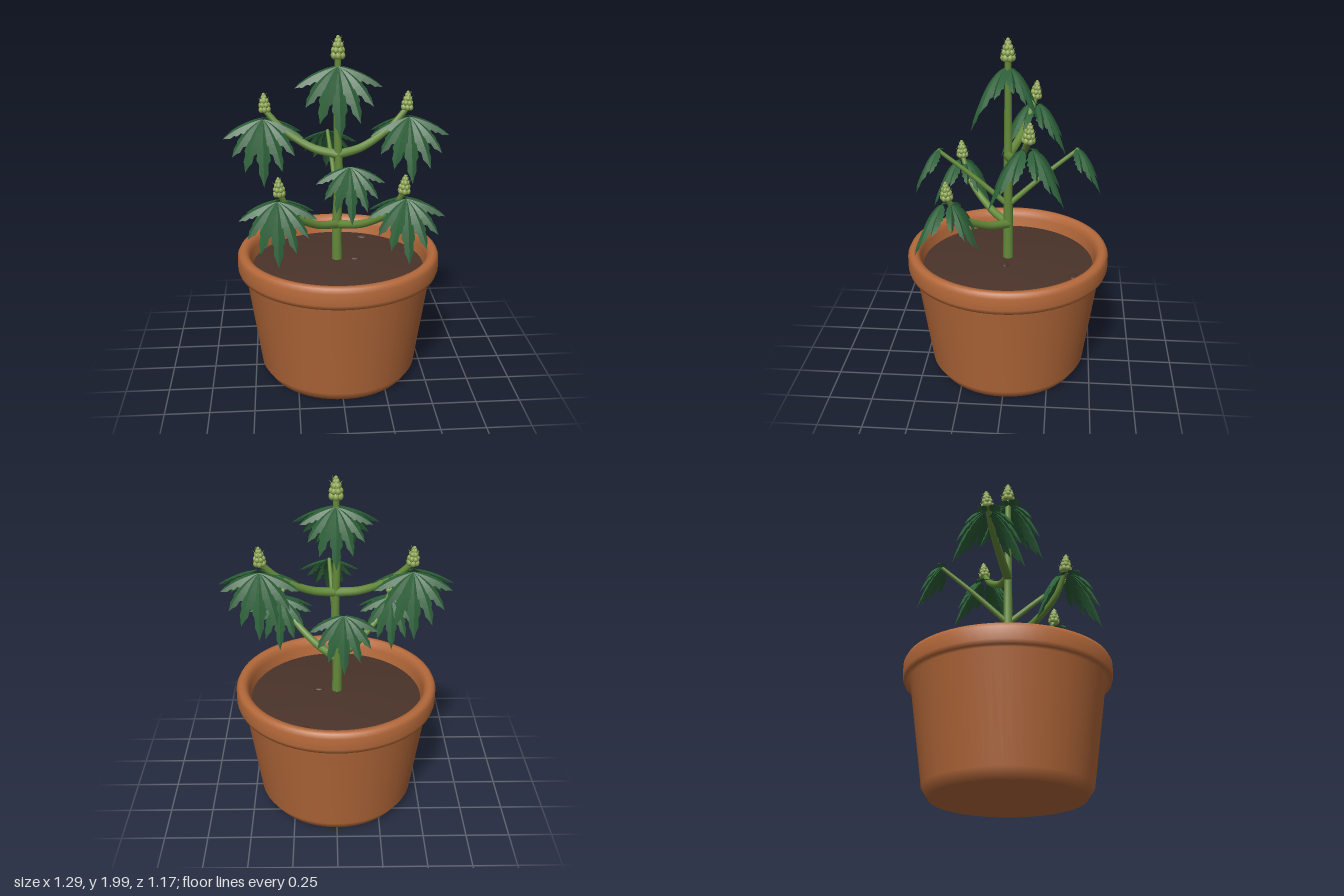
import * as THREE from 'three';
import { mergeGeometries } from 'three/addons/utils/BufferGeometryUtils.js';

const V = (x, y, z) => new THREE.Vector3(x, y, z);

function lathe(points) {
  return new THREE.LatheGeometry(points.map(p => new THREE.Vector2(p[0], p[1])), 64);
}

// Round stalk along a smooth path, thinning from r0 to r1
function stalk(points, r0, r1, segments = 20) {
  const path = new THREE.CatmullRomCurve3(points);
  const geo = new THREE.TubeGeometry(path, segments, 1, 10, false);
  const pos = geo.attributes.position, v = V(0, 0, 0);
  for (let i = 0; i < pos.count; i++) {
    const t = Math.floor(i / 11) / segments;
    const c = path.getPointAt(t);
    v.fromBufferAttribute(pos, i).sub(c).multiplyScalar(r0 + (r1 - r0) * t).add(c);
    pos.setXYZ(i, v.x, v.y, v.z);
  }
  return geo;
}

// One drooping, serrated leaflet, roof-folded along its midrib
function leaflet(tip, width) {
  const teeth = 6, rows = teeth * 2, fold = 0.6;
  const path = new THREE.QuadraticBezierCurve3(V(0, 0, 0), V(tip.x * 0.55, tip.y * 0.22, tip.z * 0.6), tip);
  const sheet = V(0, 0.88, 0.47);
  const verts = [], index = [];
  for (let i = 0; i <= rows; i++) {
    const t = i / rows;
    const c = path.getPoint(t), T = path.getTangent(t);
    const side = sheet.clone().cross(T).normalize();
    const up = T.clone().cross(side).normalize();
    // lance shape, with every second row pulled in to cut the teeth
    const w = i === rows ? 0 : width * (0.1 + 0.9 * Math.pow(Math.sin(Math.PI * Math.pow(t, 0.85)), 0.8)) * (i % 2 ? 0.78 : 1);
    for (const s of [-1, 0, 1]) {
      const p = c.clone().addScaledVector(side, s * w).addScaledVector(up, -Math.abs(s) * w * fold);
      // tooth points lean toward the tip
      if (s && i % 2 === 0 && i < rows) p.addScaledVector(T, tip.length() * 0.035);
      verts.push(p.x, p.y, p.z);
    }
    if (i < rows) for (const k of [0, 1]) {
      const a = i * 3 + k, b = a + 1, d = a + 3, e = a + 4;
      index.push(a, e, b, a, d, e);
    }
  }
  const geo = new THREE.BufferGeometry();
  geo.setAttribute('position', new THREE.Float32BufferAttribute(verts, 3));
  geo.setIndex(index);
  const flat = geo.toNonIndexed();
  flat.computeVertexNormals();
  return flat;
}

// Hand-shaped leaf of seven leaflets drooping toward +z
function leafGeometry() {
  const parts = [leaflet(V(0, -0.365, 0.19), 0.05)];
  for (const s of [-1, 1]) {
    parts.push(leaflet(V(s * 0.11, -0.28, 0.165), 0.047));
    parts.push(leaflet(V(s * 0.185, -0.2, 0.115), 0.044));
    parts.push(leaflet(V(s * 0.24, -0.11, 0.035), 0.039));
  }
  return mergeGeometries(parts);
}

// Cone-shaped cluster of beads, base at y = 0, about 0.12 tall
function budGeometries() {
  const beads = [], hairs = [];
  const core = new THREE.SphereGeometry(0.03, 12, 8);
  core.scale(0.8, 1.8, 0.8);
  core.translate(0, 0.055, 0);
  beads.push(core);
  const layers = [[0.02, 0.023, 6], [0.046, 0.021, 6], [0.071, 0.015, 5], [0.093, 0.008, 4], [0.108, 0, 1]];
  layers.forEach(([y, r, n], k) => {
    for (let i = 0; i < n; i++) {
      const a = (i + k * 0.5) / n * Math.PI * 2;
      const bead = new THREE.SphereGeometry(0.0165 - k * 0.0015, 10, 8);
      bead.scale(1, 1.15, 1);
      bead.translate(Math.sin(a) * r, y, Math.cos(a) * r);
      beads.push(bead);
      if (i % 3 === 0 && r) {
        const hair = new THREE.ConeGeometry(0.0022, 0.02, 4);
        hair.translate(0, 0.01, 0);
        hair.rotateX(0.7);
        hair.translate(0, y + 0.01, r + 0.008);
        hair.rotateY(a);
        hairs.push(hair);
      }
    }
  });
  return [mergeGeometries(beads), mergeGeometries(hairs)];
}

export function createModel() {
  const mat = (name, color, extra = {}) => {
    const m = new THREE.MeshStandardMaterial({ color, ...extra });
    m.name = name;
    return m;
  };
  const clay = mat('terracotta', 0xb5693a);
  const earth = mat('soil', 0x4a332a);
  const stone = mat('pebble', 0x4a3228);
  const green = mat('stem green', 0x648a3a);
  const leafGreen = mat('leaf green', 0x2c5f38, { side: THREE.DoubleSide });
  const budGreen = mat('bud green', 0x8fa855);
  const tan = mat('hair tan', 0xb9a566);

  const model = new THREE.Group();
  const add = (name, geo, material, parent = model) => {
    const mesh = new THREE.Mesh(geo, material);
    mesh.name = name;
    parent.add(mesh);
    return mesh;
  };

  // Pot: base, tapered wall and rounded rim in one softly shaded profile
  add('pot', lathe([[0, 0], [0.42, 0], [0.46, 0.06], [0.544, 0.645], [0.578, 0.645], [0.586, 0.67],
    [0.586, 0.74], [0.574, 0.764], [0.556, 0.77], [0.535, 0.766], [0.518, 0.748], [0.512, 0.72], [0.495, 0.64]]), clay);

  // Slightly mounded soil with flat pebbles
  add('soil', lathe([[0.502, 0.665], [0.25, 0.69], [0, 0.697]]), earth);
  for (const [x, y, z, r] of [[0.18, 0.673, -0.385, 0.038], [0.1, 0.695, 0.01, 0.03]]) {
    const pebble = add('pebble', new THREE.SphereGeometry(r, 14, 8), stone);
    pebble.scale.set(1, 0.35, 0.7);
    pebble.position.set(x, y, z);
  }

  // Main stem
  add('stem', stalk([V(-0.005, 0.66, 0), V(-0.007, 0.9, 0), V(0.004, 1.2, 0), V(-0.003, 1.5, 0), V(0, 1.88, 0)], 0.031, 0.018, 30), green);

  const leafGeo = leafGeometry();
  const leaf = (x, y, z, scale, back) => {
    const m = add(back ? 'backLeaf' : 'frontLeaf', leafGeo, leafGreen);
    m.position.set(x, y, z);
    m.scale.setScalar(scale);
    if (back) m.rotation.y = Math.PI;
  };
  const [beadGeo, hairGeo] = budGeometries();
  const bud = (x, y, z, scale, tiltX = 0, tiltZ = 0) => {
    const g = new THREE.Group();
    g.name = 'bud';
    add('budBeads', beadGeo, budGreen, g);
    add('budHairs', hairGeo, tan, g);
    g.position.set(x, y, z);
    g.scale.setScalar(scale);
    g.rotation.set(tiltX, 0, tiltZ);
    model.add(g);
  };

  // Crown
  leaf(0, 1.83, 0.02, 1, false);
  leaf(0, 1.83, -0.015, 0.82, true);
  bud(0, 1.865, 0, 1.08);

  // Mirrored side branches, each with two leaves and a bud
  for (const s of [-1, 1]) {
    add('upperBranch', stalk([V(0, 1.33, 0), V(s * 0.14, 1.36, -0.04), V(s * 0.31, 1.46, -0.1), V(s * 0.405, 1.56, -0.133)], 0.027, 0.017), green);
    leaf(s * 0.418, 1.515, -0.105, 0.95, false);
    leaf(s * 0.41, 1.515, -0.155, 0.88, true);
    bud(s * 0.405, 1.545, -0.132, 0.95, -0.1, -s * 0.06);

    add('lowerBranch', stalk([V(0, 0.91, 0), V(s * 0.13, 0.955, 0.12), V(s * 0.27, 1.07, 0.25), V(s * 0.33, 1.2, 0.3)], 0.026, 0.015), green);
    leaf(s * 0.345, 1.17, 0.325, 0.87, false);
    leaf(s * 0.332, 1.17, 0.28, 0.77, true);
    bud(s * 0.333, 1.19, 0.302, 0.92, 0.05, -s * 0.06);

    // Single fan leaf on a long stalk, to the front and the back
    add('leafStalk', stalk([V(0, 1.03, 0), V(s * 0.018, 1.21, s * 0.2), V(s * 0.036, 1.37, s * 0.395)], 0.017, 0.011, 10), green);
    leaf(s * 0.036, 1.372, s * 0.385, 0.75, s < 0);
  }
  return model;
}
